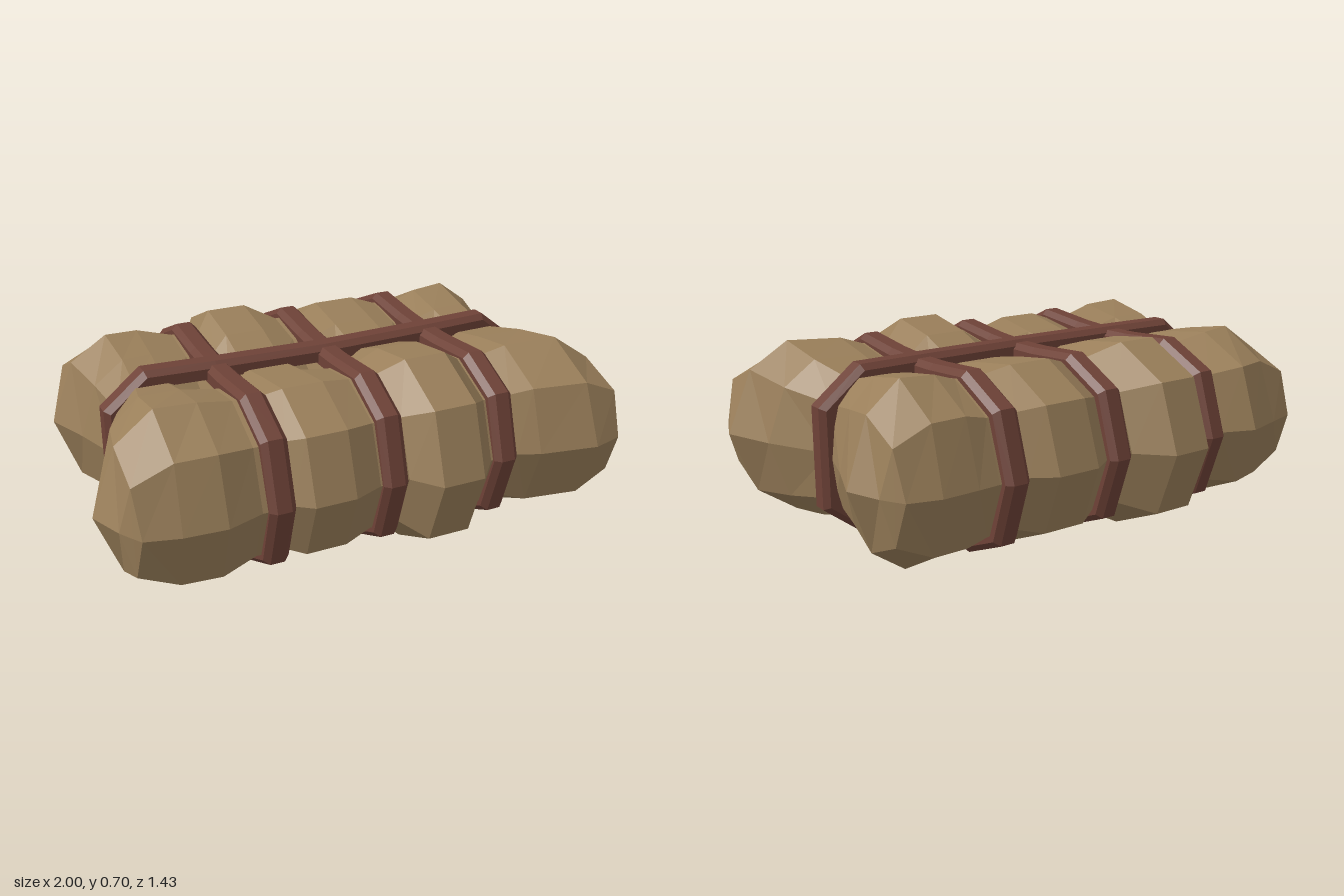
import * as THREE from 'three';

const MID = 0.33; // height of the widest line of the bundle

function meshFrom(name, positions, index, material) {
  const indexed = new THREE.BufferGeometry();
  indexed.setAttribute('position', new THREE.Float32BufferAttribute(positions, 3));
  indexed.setIndex(index);
  const geometry = indexed.toNonIndexed();
  geometry.computeVertexNormals();
  const mesh = new THREE.Mesh(geometry, material);
  mesh.name = name;
  return mesh;
}

// Cross-section of one roll, from its outer edge to the valley between the rolls
const BODY = { z: [1, 0.875, 0.56, 0.27, 0], h: [0, 0.7, 1, 0.91, 0] };

// One row across both rolls: front edge, back edge, roll heights and valley height
function bodyRow([x, front, back, topFront, topBack, valley]) {
  const row = [];
  for (let j = 0; j < 9; j++) {
    const k = Math.min(j, 8 - j);
    const z = j < 5 ? BODY.z[k] * front : -BODY.z[k] * back;
    const h = k === 4 ? valley : BODY.h[k] * (j < 5 ? topFront : topBack);
    row.push([x - 0.03 * z, h, z]);
  }
  return row;
}

// Rows that round off an end and close in a level seam
const END = [
  { x: [0.78, 0.77, 0.77, 0.76, 0.72], z: [1, 0.875, 0.57, 0.27, 0], h: [0, 0.22, 0.325, 0.29, 0.25] },
  { x: [0.9, 0.91, 0.91, 0.87, 0.79], z: [0.95, 0.86, 0.6, 0.3, 0], h: [0, 0.16, 0.23, 0.2, 0.17] },
  { x: [0.92, 0.95, 1, 0.93, 0.81], z: [0.9, 0.82, 0.62, 0.34, 0], h: [0, 0, 0, 0, 0] },
];

function endRow(ring, side, front, back) {
  const row = [];
  for (let j = 0; j < 9; j++) {
    const k = Math.min(j, 8 - j);
    const shrink = j > 4 ? 0.94 : 1;
    row.push([side * ring.x[k] * shrink, ring.h[k], j < 5 ? ring.z[k] * front : -ring.z[k] * back]);
  }
  return row;
}

function makeRolls(material) {
  const groove = (x) => [x, 0.605, 0.61, 0.288, 0.288, 0.19];
  const rows = [
    ...[...END].reverse().map((r) => endRow(r, -1, 0.64, 0.62)),
    ...[
      [-0.61, 0.65, 0.66, 0.318, 0.318, 0.25],
      groove(-0.48), groove(-0.37),
      [-0.31, 0.65, 0.72, 0.31, 0.34, 0.25],
      [-0.16, 0.65, 0.72, 0.31, 0.34, 0.25],
      groove(-0.05), groove(0.06),
      [0.14, 0.71, 0.665, 0.35, 0.315, 0.25],
      [0.3, 0.71, 0.665, 0.35, 0.315, 0.25],
      groove(0.39), groove(0.5),
      [0.58, 0.64, 0.615, 0.315, 0.315, 0.25],
    ].map(bodyRow),
    ...END.map((r) => endRow(r, 1, 0.68, 0.62)),
  ];
  const positions = [], index = [];
  for (const side of [1, -1]) {
    const start = positions.length / 3;
    for (const row of rows) for (const [x, h, z] of row) positions.push(x, MID + side * h, z);
    for (let i = 0; i < rows.length - 1; i++) {
      for (let j = 0; j < 8; j++) {
        const a = start + i * 9 + j, b = a + 9, c = b + 1, d = a + 1;
        if (side > 0) index.push(a, b, c, a, c, d);
        else index.push(a, c, b, a, d, c);
      }
    }
  }
  return meshFrom('beddingRolls', positions, index, material);
}

// Bevelled strap profile: [across, outward]
const PROFILE = [[-0.047, -0.06], [-0.047, -0.02], [-0.026, 0], [0.026, 0], [0.047, -0.02], [0.047, -0.06]];

// Closed strap along the upper path and its mirror image below; place maps (u, v, w) to space
function makeStrap(name, upper, place, material) {
  const lower = upper.filter((p) => p[1] > 0).map(([u, v]) => [u, -v]).reverse();
  const path = [...upper, ...lower];
  const n = path.length, m = PROFILE.length;
  const positions = [], index = [];
  const direction = (a, b) => new THREE.Vector2(b[0] - a[0], b[1] - a[1]).normalize();
  path.forEach((p, i) => {
    const before = direction(path[(i + n - 1) % n], p);
    const t = direction(p, path[(i + 1) % n]).add(before).normalize();
    const miter = 1 / Math.max(0.6, t.dot(before));
    for (const [w, out] of PROFILE) {
      positions.push(...place(p[0] + t.y * out * miter, p[1] - t.x * out * miter, w));
    }
    for (let k = 0; k < m; k++) {
      const a = i * m + k, b = ((i + 1) % n) * m + k;
      const d = i * m + (k + 1) % m, c = ((i + 1) % n) * m + (k + 1) % m;
      index.push(a, b, c, a, c, d);
    }
  });
  return meshFrom(name, positions, index, material);
}

export function createModel() {
  const cloth = new THREE.MeshStandardMaterial({ color: 0x9a7f5a, flatShading: true });
  cloth.name = 'tan cloth';
  const leather = new THREE.MeshStandardMaterial({ color: 0x6e4237, flatShading: true });
  leather.name = 'brown leather';

  const group = new THREE.Group();
  group.name = 'bedrollBundle';
  group.add(makeRolls(cloth));

  // Three straps round both rolls, each slightly askew
  const around = [
    [0.635, 0], [0.56, 0.23], [0.37, 0.318], [0.15, 0.3], [0, 0.295],
    [-0.15, 0.3], [-0.37, 0.318], [-0.57, 0.23], [-0.65, 0],
  ];
  [[-0.42, 0.02], [0.01, 0.04], [0.445, 0.03]].forEach(([x, slant], i) => {
    const place = (u, v, w) => [x - w - slant * u, MID + v, u];
    group.add(makeStrap(['rightStrap', 'middleStrap', 'leftStrap'][i], around, place, leather));
  });

  // Long strap in the valley between the rolls
  const along = [
    [0.865, 0.18], [0.7, 0.308], [0.44, 0.307], [0, 0.305],
    [-0.43, 0.307], [-0.69, 0.308], [-0.84, 0.18],
  ];
  const sway = (x) => 0.02 * Math.cos(x * 3) - 0.008;
  group.add(makeStrap('longStrap', along, (u, v, w) => [u, MID + v, w + sway(u)], leather));
  return group;
}
